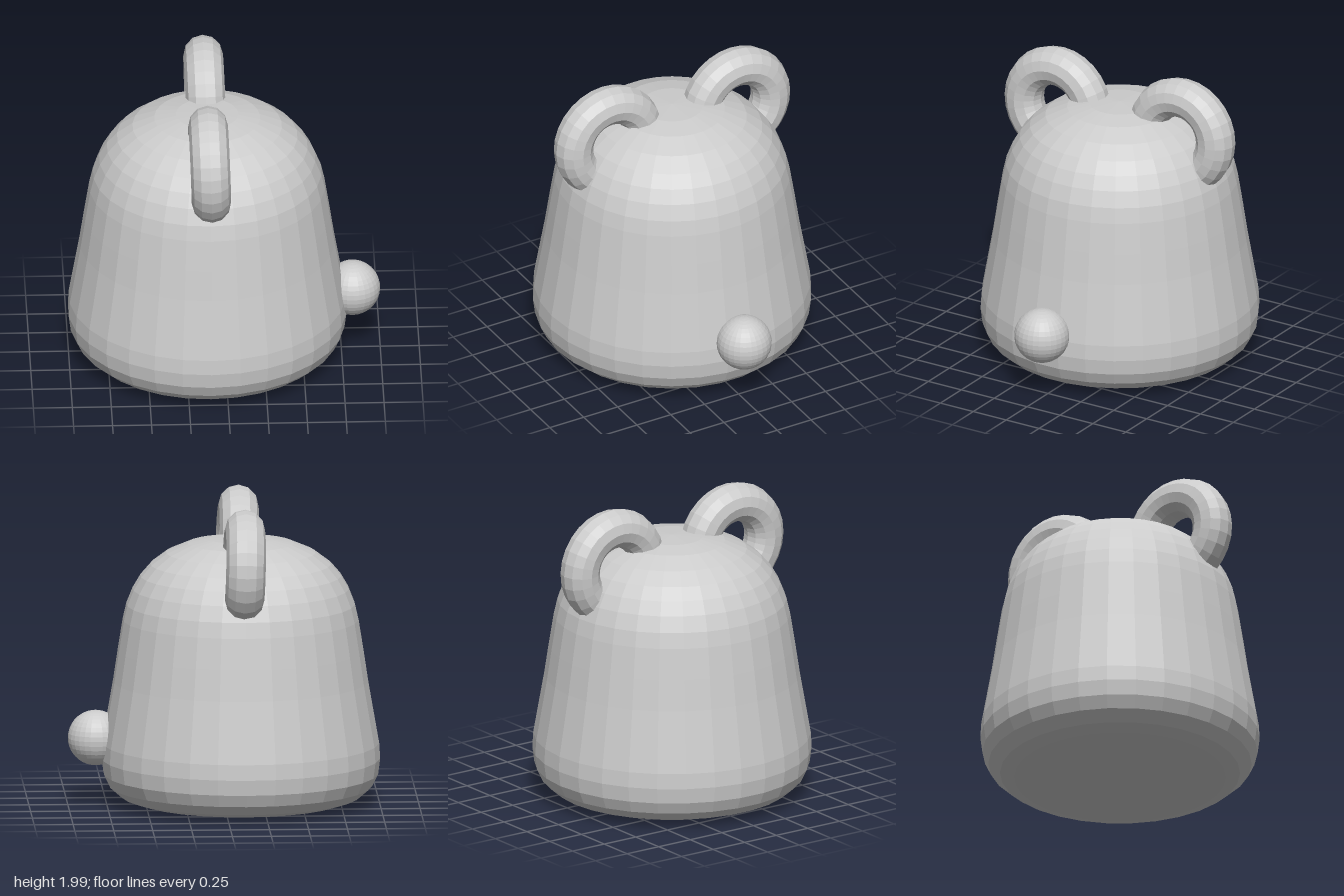
import * as THREE from 'three';

export function createModel() {
  const model = new THREE.Group();
  const material = new THREE.MeshStandardMaterial({ color: 0xcccccc, flatShading: true });
  const axisX = -0.11;

  function addPart(name, geometry, x, y, z) {
    const mesh = new THREE.Mesh(geometry, material);
    mesh.name = name;
    mesh.position.set(x, y, z);
    model.add(mesh);
    return mesh;
  }

  // Bell-shaped body: [radius, height] from the base to the crown
  const profile = [
    [0, 0], [0.3, 0.003], [0.58, 0.01], [0.68, 0.025], [0.77, 0.055],
    [0.845, 0.12], [0.883, 0.2], [0.896, 0.3], [0.89, 0.4], [0.855, 0.6],
    [0.82, 0.8], [0.79, 1.0], [0.758, 1.2], [0.735, 1.3], [0.695, 1.4],
    [0.645, 1.485], [0.58, 1.56], [0.48, 1.635], [0.34, 1.695],
    [0.2, 1.722], [0, 1.73],
  ].map(([r, y]) => new THREE.Vector2(r, y));
  addPart('body', new THREE.LatheGeometry(profile, 30), axisX, 0, 0);

  // Pair of ring ears standing in the side plane, leaning slightly
  for (const side of [1, -1]) {
    const ear = addPart(side > 0 ? 'frontEar' : 'backEar',
      new THREE.TorusGeometry(0.255, 0.127, 12, 28), axisX, 1.605, side * 0.472);
    ear.rotation.set(0, Math.PI / 2, 0.03, 'ZYX');
  }

  // Round knob low on the side
  addPart('knob', new THREE.SphereGeometry(0.178, 28, 18), 0.822, 0.435, 0);

  return model;
}
